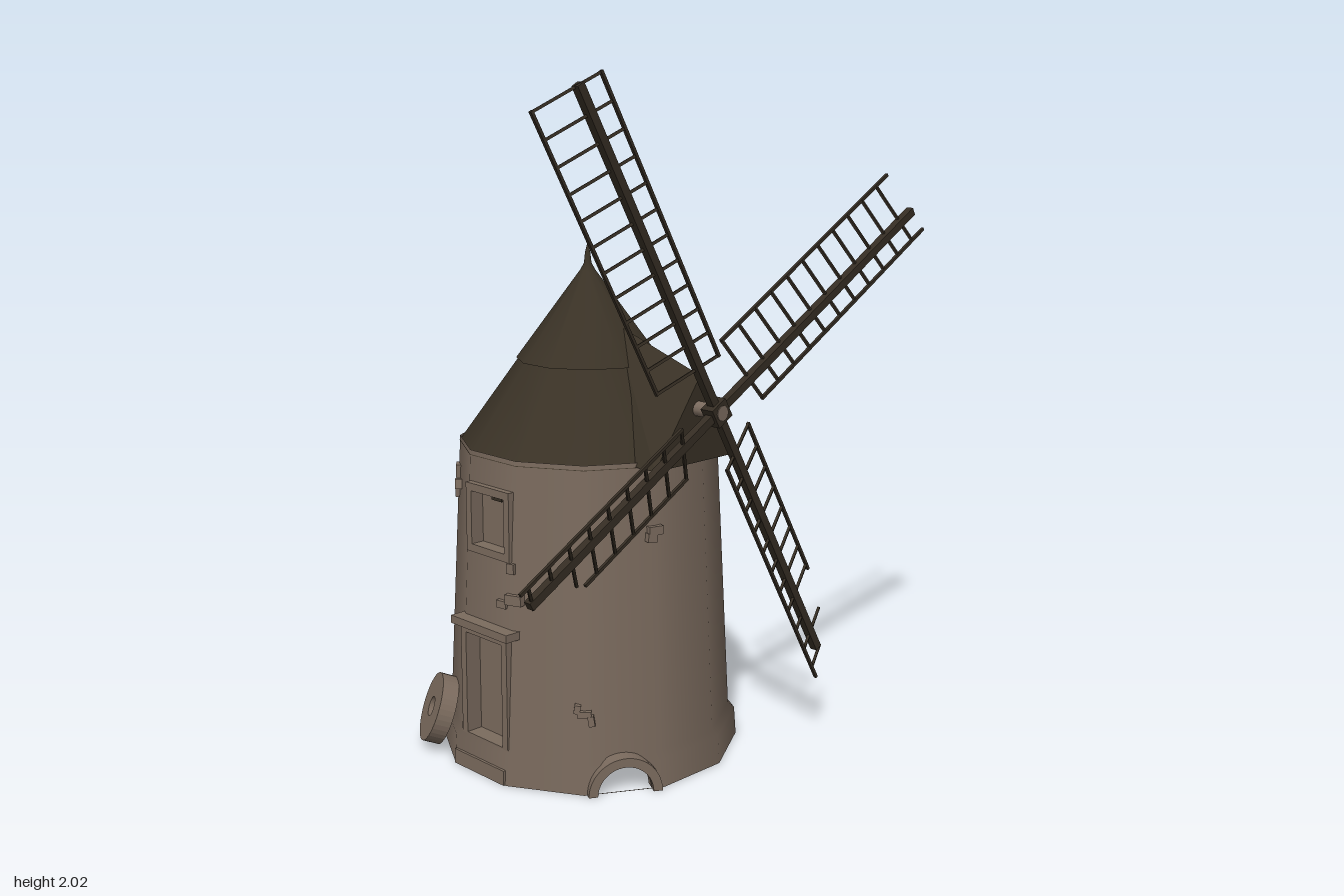
import * as THREE from 'three';

const CX = -0.05, CZ = 0.1, SIDES = 12, HALF = Math.PI / SIDES;
const rad = THREE.MathUtils.degToRad;
const mat = (name, color) => {
  const m = new THREE.MeshStandardMaterial({ color, side: THREE.DoubleSide });
  m.name = name;
  return m;
};

export function createModel() {
  const stone = mat('plaster stone', 0x7b6b5e);
  const roofing = mat('dark roofing', 0x3a3226);
  const timber = mat('dark timber', 0x352d23);
  const model = new THREE.Group();

  const add = (name, geo, m, parent = model) => {
    const mesh = new THREE.Mesh(geo, m);
    mesh.name = name;
    parent.add(mesh);
    return mesh;
  };
  const box = (name, w, h, d, x, y, z, m, parent) => {
    const b = add(name, new THREE.BoxGeometry(w, h, d), m, parent);
    b.position.set(x, y, z);
    return b;
  };
  const rect = (x0, y0, x1, y1, Type = THREE.Path) => {
    const p = new Type();
    p.moveTo(x0, y0); p.lineTo(x1, y0); p.lineTo(x1, y1); p.lineTo(x0, y1);
    p.closePath();
    return p;
  };
  // square bar between two points
  const bar = (name, a, b, t, m, parent) => {
    const d = new THREE.Vector3().subVectors(b, a);
    const s = add(name, new THREE.BoxGeometry(t, d.length(), t), m, parent);
    s.position.copy(a).add(b).multiplyScalar(0.5);
    s.quaternion.setFromUnitVectors(new THREE.Vector3(0, 1, 0), d.normalize());
  };

  // one wall face of the twelve-sided tower, laid out flat and bent into place
  const facet = (name, angle, y0, y1, r0, r1, holes = []) => {
    const k = Math.tan(HALF), s = new THREE.Shape();
    s.moveTo(-r0 * k, y0); s.lineTo(r0 * k, y0); s.lineTo(r1 * k, y1); s.lineTo(-r1 * k, y1);
    s.holes.push(...holes);
    const geo = new THREE.ShapeGeometry(s, 16);
    const p = geo.attributes.position, n = geo.attributes.normal;
    const sn = Math.sin(angle), cs = Math.cos(angle);
    for (let i = 0; i < p.count; i++) {
      const u = p.getX(i), y = p.getY(i), r = r0 + (r1 - r0) * (y - y0) / (y1 - y0);
      const dx = sn * r + cs * u, dz = cs * r - sn * u, l = Math.hypot(dx, dz);
      p.setXYZ(i, CX + dx, y, CZ + dz);
      n.setXYZ(i, dx / l, 0.05, dz / l);
    }
    add(name, geo, stone);
  };
  const archHole = new THREE.Path();
  archHole.moveTo(0.08, 0.002);
  archHole.absarc(0, 0.002, 0.08, 0, Math.PI);
  archHole.closePath();
  for (let i = 0; i < SIDES; i++) {
    const a = i * 2 * HALF;
    facet('towerWall', a, 0.09, 0.95, 0.416, 0.373,
      i === 0 ? [rect(-0.08, 0.1, 0.08, 0.42), rect(-0.072, 0.675, 0.072, 0.835)] : []);
    facet('basePlinth', a, 0, 0.085, 0.44, 0.434, i === 2 ? [archHole] : []);
    facet('plinthLedge', a, 0.085, 0.1, 0.434, 0.415);
  }

  // door and window: deep frames with recessed panels
  const frame = (name, hw, y0, y1, border, zBack, zFront) => {
    const s = rect(-hw, y0, hw, y1, THREE.Shape);
    s.holes.push(rect(-hw + border, y0 + border, hw - border, y1 - border));
    const geo = new THREE.ExtrudeGeometry(s, { depth: zFront - zBack, bevelEnabled: false });
    add(name, geo, stone).position.set(CX, 0, zBack);
  };
  frame('doorFrame', 0.103, 0.078, 0.436, 0.023, 0.455, 0.52);
  box('doorPanel', 0.17, 0.34, 0.012, CX, 0.26, 0.462, stone);
  box('doorHandle', 0.008, 0.035, 0.015, 0.012, 0.275, 0.474, timber);
  box('doorLintel', 0.25, 0.024, 0.06, CX, 0.446, 0.508, stone);
  box('doorStep', 0.225, 0.045, 0.1, CX, 0.0225, 0.495, stone);
  box('doorStep', 0.225, 0.04, 0.08, CX, 0.063, 0.49, stone);
  frame('windowFrame', 0.095, 0.655, 0.86, 0.023, 0.44, 0.497);
  box('windowPanel', 0.15, 0.17, 0.012, CX, 0.757, 0.448, stone);
  box('windowLatch', 0.045, 0.008, 0.012, CX, 0.818, 0.456, timber);

  // arch stones around the low opening
  const arch = new THREE.Shape();
  arch.absarc(0, 0, 0.109, 0, Math.PI);
  arch.lineTo(-0.082, 0);
  arch.absarc(0, 0, 0.082, Math.PI, 0, true);
  arch.closePath();
  const archRing = add('baseArch',
    new THREE.ExtrudeGeometry(arch, { depth: 0.06, bevelEnabled: false, curveSegments: 14 }), stone);
  archRing.position.set(CX + 0.4 * Math.sin(rad(60)), 0, CZ + 0.4 * Math.cos(rad(60)));
  archRing.rotation.y = rad(60);

  // millstone leaning on the wall
  const disc = new THREE.Shape();
  disc.absarc(0, 0, 0.105, 0, Math.PI * 2);
  const eye = new THREE.Path();
  eye.absarc(0, 0, 0.03, 0, Math.PI * 2, true);
  disc.holes.push(eye);
  const millGeo = new THREE.ExtrudeGeometry(disc, { depth: 0.05, bevelEnabled: false, curveSegments: 20 });
  millGeo.translate(0, 0, -0.025);
  const mill = add('millstone', millGeo, stone);
  mill.position.set(CX - 0.25, 0.118, CZ + 0.395);
  mill.rotation.set(rad(-20), rad(-30), 0, 'YXZ');

  // exposed stones: angle round the tower, height, sideways offset, width, height
  const stones = [
    [15, 0.55, 0.005, 0.055, 0.03], [9, 0.528, 0, 0.035, 0.022], [14, 0.64, 0, 0.025, 0.03],
    [45, 0.235, 0, 0.04, 0.018], [45, 0.215, 0.02, 0.018, 0.03], [45, 0.25, -0.02, 0.018, 0.025],
    [75, 0.755, 0, 0.045, 0.025], [75, 0.735, -0.012, 0.03, 0.025],
    [-42, 0.84, -0.01, 0.035, 0.05], [-42, 0.81, 0.02, 0.05, 0.03], [-42, 0.785, -0.012, 0.04, 0.04],
    [-135, 0.89, 0, 0.05, 0.035], [-135, 0.86, 0.03, 0.045, 0.03], [-135, 0.86, -0.03, 0.045, 0.03],
    [-135, 0.825, 0, 0.035, 0.03], [-117, 0.46, 0.01, 0.05, 0.03], [-117, 0.435, -0.02, 0.035, 0.025],
  ];
  for (const [deg, y, u, w, h] of stones) {
    const a = rad(deg), near = Math.abs(((deg % 30) + 45) % 30 - 15);
    const r = (0.421 - 0.05 * y) / Math.cos(rad(near)) - 0.002;
    const s = box('exposedStone', w, h, 0.026,
      CX + r * Math.sin(a) + u * Math.cos(a), y, CZ + r * Math.cos(a) - u * Math.sin(a), stone);
    s.rotation.y = a;
    s.rotation.z = u * 8;
  }

  // two-tier roof with a finial
  const lathe = (name, pts) => {
    const g = new THREE.LatheGeometry(pts.map(([x, y]) => new THREE.Vector2(x, y)), SIDES, HALF);
    add(name, g, roofing).position.set(CX, 0, CZ);
  };
  lathe('lowerRoof', [[0.388, 0.935], [0.195, 1.205]]);
  lathe('roofEave', [[0.365, 0.945], [0.388, 0.935]]);
  lathe('upperRoof', [[0.214, 1.188], [0.022, 1.45]]);
  lathe('upperRoofEave', [[0.19, 1.195], [0.214, 1.188]]);
  lathe('roofFinial', [[0.022, 1.45], [0.011, 1.47], [0.008, 1.5], [0.0005, 1.53]]);

  // steep gabled dormer that carries the sail shaft
  const DZ = 0.085, W = 0.16;
  const ridgeB = [0.05, 1.3, DZ], ridgeF = [0.392, 1.19, DZ];
  const lB = [0.13, 0.937, DZ + W], lF = [0.375, 0.937, DZ + W];
  const rB = [0.13, 0.937, DZ - W], rF = [0.375, 0.937, DZ - W];
  const dormer = new THREE.BufferGeometry();
  dormer.setAttribute('position', new THREE.Float32BufferAttribute([
    ridgeB, lB, lF, ridgeB, lF, ridgeF,
    ridgeB, rF, rB, ridgeB, ridgeF, rF,
    ridgeF, lF, rF,
    lB, rB, rF, lB, rF, lF,
  ].flat(), 3));
  dormer.computeVertexNormals();
  add('dormer', dormer, roofing);

  // shaft and hub
  const HY = 1.095;
  const shaft = add('sailShaft', new THREE.CylinderGeometry(0.022, 0.022, 0.13, 12), stone);
  shaft.rotation.z = Math.PI / 2;
  shaft.position.set(0.415, HY, DZ);
  box('sailHub', 0.045, 0.06, 0.06, 0.455, HY, DZ, timber).rotation.x = rad(30);

  // four pitched lattice sails, two of them broken: angle, spar, wide rail, narrow rail
  const at = (y, z) => new THREE.Vector3(-0.37 * z, y, z);
  const sails = [[30, 1.03, 1.03, 1.03], [300, 1.01, 1.01, 1.01], [120, 0.8, 0.6, 0.82], [210, 0.93, 0.73, 0.99]];
  for (const [deg, spar, wide, narrow] of sails) {
    const sail = new THREE.Group();
    sail.name = 'sail';
    sail.position.set(0.455, HY, DZ);
    sail.rotation.x = rad(deg);
    model.add(sail);
    bar('sailSpar', at(0, 0), at(spar, 0), 0.024, timber, sail);
    bar('wideRail', at(0.15, 0.128), at(wide, 0.128), 0.009, timber, sail);
    bar('narrowRail', at(0.15, -0.064), at(narrow, -0.064), 0.009, timber, sail);
    for (let i = 0; i <= 11; i++) {
      const y = 0.154 + i * 0.0793;
      if (y > narrow + 0.01) break;
      const end = y <= wide + 0.01 ? 0.128 : i % 3 === 0 ? 0.1 : 0.025;
      bar('sailRung', at(y, -0.064), at(y, end), 0.008, timber, sail);
    }
  }
  return model;
}
